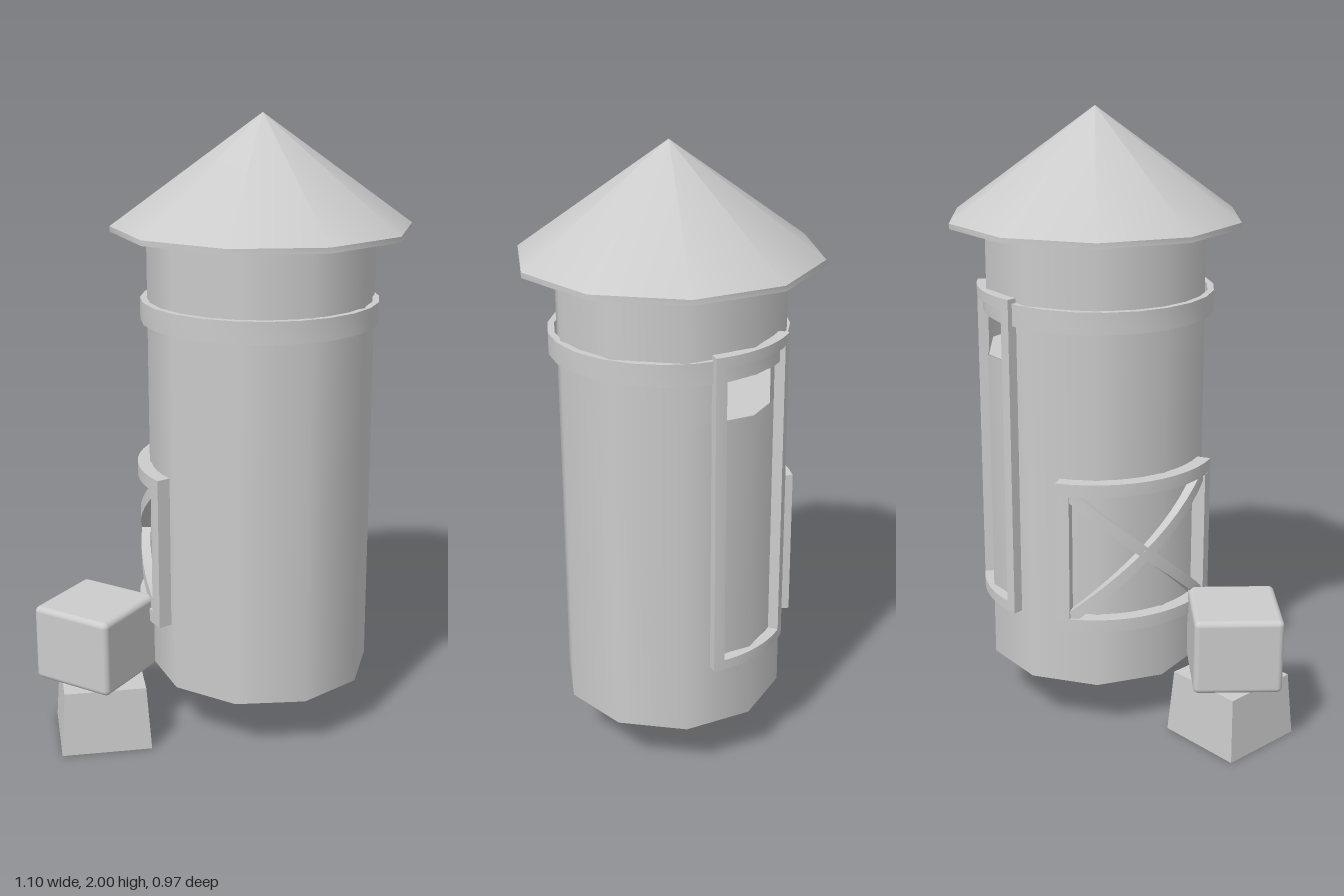
import * as THREE from 'three';
import { toCreasedNormals } from 'three/addons/utils/BufferGeometryUtils.js';
import { RoundedBoxGeometry } from 'three/addons/geometries/RoundedBoxGeometry.js';

const solid = new THREE.MeshStandardMaterial({ color: 0xcccccc });
const open = new THREE.MeshStandardMaterial({ color: 0xcccccc, side: THREE.DoubleSide });
const deg = Math.PI / 180;
const SIDES = 10;
const WALL_R = 0.3625;

function add(parent, name, geometry, material = solid) {
  const mesh = new THREE.Mesh(geometry, material);
  mesh.name = name;
  parent.add(mesh);
  return mesh;
}

// Bar bent around the tower; (s, y) is its centre along the arc, tilt turns it in the wall surface
function bentBar(length, height, depth, r, s, y, tilt = 0) {
  const g = new THREE.BoxGeometry(length, height, depth, 12, 1, 1);
  g.rotateZ(tilt).translate(s, y, 0);
  const p = g.attributes.position;
  for (let i = 0; i < p.count; i++) {
    const a = p.getX(i) / r, d = r + p.getZ(i);
    p.setXYZ(i, Math.sin(a) * d, p.getY(i), Math.cos(a) * d);
  }
  return toCreasedNormals(g, 40 * deg);
}

// Rectangular frame of four bent bars
function bentFrame(name, halfArc, y0, y1, bar, depth, r) {
  const group = new THREE.Group();
  group.name = name;
  for (const side of [-1, 1]) {
    add(group, name + 'Post', bentBar(bar, y1 - y0 - 2 * bar, depth, r, side * (halfArc - bar / 2), (y0 + y1) / 2));
  }
  for (const y of [y0 + bar / 2, y1 - bar / 2]) {
    add(group, name + 'Rail', bentBar(2 * halfArc, bar, depth, r, 0, y));
  }
  return group;
}

// Wall strip of the ten-sided tower between two angles, cut at the corners
function wallStrip(y0, y1, from, to) {
  const step = 360 / SIDES;
  const angles = [from];
  for (let a = Math.floor(from / step) * step + step; a < to; a += step) angles.push(a);
  angles.push(to);
  const pos = [], nor = [], idx = [];
  angles.forEach((a, i) => {
    const off = a - Math.floor(a / step) * step - step / 2;
    const r = WALL_R * Math.cos(step / 2 * deg) / Math.cos(off * deg);
    const x = Math.sin(a * deg), z = Math.cos(a * deg);
    pos.push(x * r, y0, z * r, x * r, y1, z * r);
    nor.push(x, 0, z, x, 0, z);
    if (i) {
      const k = 2 * i;
      idx.push(k - 2, k, k - 1, k, k + 1, k - 1);
    }
  });
  const g = new THREE.BufferGeometry();
  g.setAttribute('position', new THREE.Float32BufferAttribute(pos, 3));
  g.setAttribute('normal', new THREE.Float32BufferAttribute(nor, 3));
  g.setIndex(idx);
  return g;
}

export function createModel() {
  const model = new THREE.Group();
  const tower = new THREE.Group();
  tower.name = 'tower';
  tower.position.set(0.1, 0, -0.012);
  model.add(tower);

  // Wall with an opening at the top of the rear window
  const sill = 1.23, lintel = 1.41, gap = 18;
  add(tower, 'lowerWall', wallStrip(0.18, sill, 0, 360), open);
  add(tower, 'wallBesideOpening', wallStrip(sill, lintel, 180 + gap, 540 - gap), open);
  add(tower, 'upperWall', wallStrip(lintel, 1.64, 0, 360), open);

  // Level surface of the contents, seen through the opening
  const fill = add(tower, 'fillSurface', new THREE.CircleGeometry(WALL_R - 0.003, SIDES, Math.PI / 2), open);
  fill.rotation.x = -Math.PI / 2;
  fill.position.y = sill;

  // Conical roof with a thin rim
  const roof = [[0, 1.64], [0.475, 1.64], [0.475, 1.657], [0, 2]].map(([x, y]) => new THREE.Vector2(x, y));
  add(tower, 'roof', toCreasedNormals(new THREE.LatheGeometry(roof, SIDES), 40 * deg), open);

  // Band around the upper wall
  const band = [[0.358, 1.36], [0.379, 1.36], [0.379, 1.43], [0.358, 1.43], [0.358, 1.36]]
    .map(([x, y]) => new THREE.Vector2(x, y));
  const ring = add(tower, 'band', toCreasedNormals(new THREE.LatheGeometry(band, 24), 40 * deg));
  ring.scale.z = 0.985;
  ring.position.set(-0.004, 0, 0.009);

  // Tall rear window frame
  const windowFrame = bentFrame('windowFrame', 0.16, 0.395, 1.445, 0.034, 0.034, 0.365);
  windowFrame.rotation.y = 182 * deg;
  tower.add(windowFrame);

  // Hatch with crossed braces
  const r = 0.38, half = 43 * deg * r, y0 = 0.39, y1 = 0.89, bar = 0.042;
  const hatch = bentFrame('hatchFrame', half, y0, y1, bar, 0.045, r);
  const w = 2 * (half - bar), h = y1 - y0 - 2 * bar;
  for (const s of [-1, 1]) {
    add(hatch, 'hatchBrace', bentBar(Math.hypot(w, h), 0.035, 0.03, r, 0, (y0 + y1) / 2, s * Math.atan2(h, w)));
  }
  hatch.rotation.y = -84 * deg;
  tower.add(hatch);

  // Tapered pedestal, hollow underneath
  const pedestal = new THREE.Group();
  pedestal.name = 'pedestal';
  pedestal.position.set(-0.362, 0, 0.297);
  pedestal.rotation.y = 23 * deg;
  model.add(pedestal);
  const skirt = new THREE.CylinderGeometry(0.262 / Math.SQRT2, 0.29 / Math.SQRT2, 0.21, 4, 1, true);
  skirt.rotateY(Math.PI / 4).translate(0, 0.105, 0);
  add(pedestal, 'pedestalSides', toCreasedNormals(skirt, 30 * deg), open);
  const lid = new THREE.PlaneGeometry(0.262, 0.262);
  lid.rotateX(-Math.PI / 2).translate(0, 0.21, 0);
  add(pedestal, 'pedestalTop', lid, open);

  // Soft-edged block resting on the pedestal
  const block = add(model, 'block', new RoundedBoxGeometry(0.283, 0.25, 0.283, 3, 0.018));
  block.position.set(-0.378, 0.343, 0.297);
  block.rotation.y = -17.5 * deg;

  return model;
}
